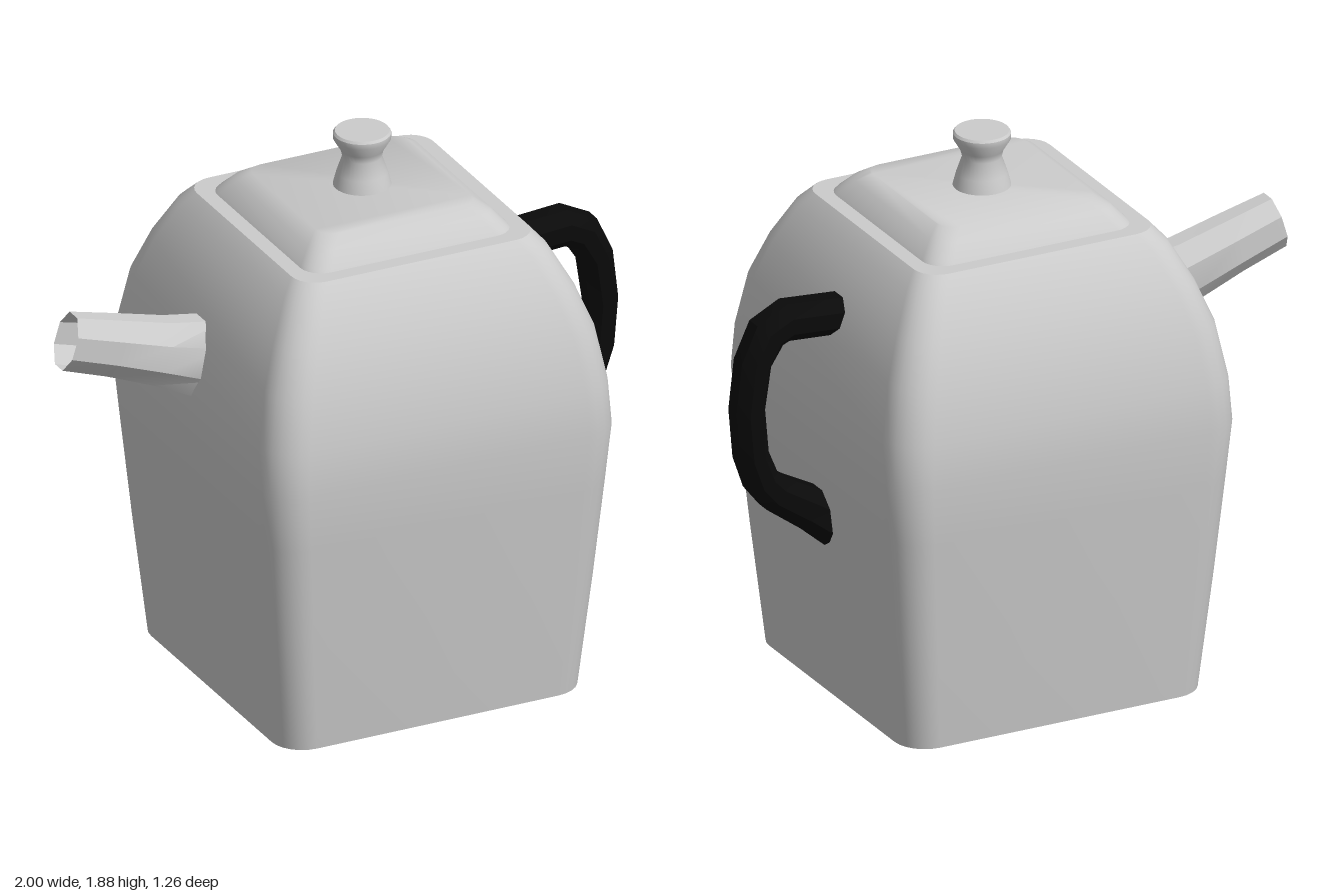
import * as THREE from 'three';
import { toCreasedNormals } from 'three/addons/utils/BufferGeometryUtils.js';

const CX = 0.075; // body axis in x

// Skins a row of equal-length rings; optional flat caps at both ends
function loft(rings, capStart, capEnd, crease) {
  const n = rings[0].length, pos = [], idx = [];
  rings.forEach(r => r.forEach(p => pos.push(...p)));
  for (let k = 0; k < rings.length - 1; k++) {
    for (let i = 0; i < n; i++) {
      const a = k * n + i, b = k * n + (i + 1) % n;
      idx.push(a, a + n, b + n, a, b + n, b);
    }
  }
  const last = (rings.length - 1) * n;
  for (let i = 1; i < n - 1; i++) {
    if (capStart) idx.push(0, i, i + 1);
    if (capEnd) idx.push(last, last + i + 1, last + i);
  }
  const g = new THREE.BufferGeometry();
  g.setAttribute('position', new THREE.Float32BufferAttribute(pos, 3));
  g.setIndex(idx);
  return toCreasedNormals(g, crease);
}

// Horizontal rounded square of half width h
function squareRing(h, y) {
  const r = h * 0.2, seg = 6, pts = [];
  for (let c = 0; c < 4; c++) {
    const mid = Math.PI / 4 + c * Math.PI / 2;
    const sx = Math.sign(Math.cos(mid)), sz = Math.sign(Math.sin(mid));
    for (let i = 0; i <= seg; i++) {
      const a = c * Math.PI / 2 + (i / seg) * Math.PI / 2;
      pts.push([CX + sx * (h - r) + r * Math.cos(a), y, sz * (h - r) + r * Math.sin(a)]);
    }
  }
  return pts;
}

// Octagonal rings along a path in the xy plane; points are [x, y, in-plane radius, z radius]
function pathRings(path, z) {
  return path.map(([x, y, ru, rv], k) => {
    const p = path[Math.max(k - 1, 0)], q = path[Math.min(k + 1, path.length - 1)];
    const len = Math.hypot(q[0] - p[0], q[1] - p[1]);
    const tx = (q[0] - p[0]) / len, ty = (q[1] - p[1]) / len;
    return Array.from({ length: 8 }, (_, i) => {
      const a = (i + 0.5) * Math.PI / 4;
      const u = Math.cos(a) * ru * 1.06, v = Math.sin(a) * rv * 1.06;
      return [x + ty * u, y - tx * u, z + v];
    });
  });
}

export function createModel() {
  const group = new THREE.Group();
  const grey = new THREE.MeshStandardMaterial({ color: 0xcccccc });
  const greyOpen = new THREE.MeshStandardMaterial({ color: 0xcccccc, side: THREE.DoubleSide });
  const black = new THREE.MeshStandardMaterial({ color: 0x0a0a0a });
  const add = (name, geometry, material) => {
    const mesh = new THREE.Mesh(geometry, material);
    mesh.name = name;
    group.add(mesh);
    return mesh;
  };

  // Square pot, swelling to the shoulder and closing to a flat rim
  const body = [
    [0.543, 0], [0.582, 0.4], [0.613, 0.75], [0.63, 0.95], [0.62, 1.1],
    [0.587, 1.28], [0.535, 1.42], [0.468, 1.55], [0.425, 1.6],
  ];
  add('body', loft(body.map(([h, y]) => squareRing(h, y)), true, true, 0.6), grey);

  // Lid with a curved bevel
  const lid = [[0.375, 1.595], [0.365, 1.61], [0.325, 1.655], [0.28, 1.686]];
  add('lid', loft(lid.map(([h, y]) => squareRing(h, y)), false, true, 0.7), grey);

  // Waisted knob
  const knob = [
    [0.096, 1.68], [0.083, 1.73], [0.064, 1.785], [0.07, 1.81],
    [0.094, 1.85], [0.094, 1.868], [0.088, 1.876], [0, 1.876],
  ].map(([r, y]) => new THREE.Vector2(r, y));
  const knobMesh = add('knob', toCreasedNormals(new THREE.LatheGeometry(knob, 32), 0.6), grey);
  knobMesh.position.set(0.08, 0, 0.012 * -1);

  // Open tapering spout
  const spout = [
    [-0.47, 1.185, 0.14, 0.082], [-0.65, 1.243, 0.112, 0.082],
    [-0.82, 1.3, 0.1, 0.079], [-0.98, 1.348, 0.094, 0.068],
  ];
  add('spout', loft(pathRings(spout, -0.02), false, false, 0.6), greyOpen);

  // Black handle, flared where it meets the pot at the bottom
  const handle = [
    [0.6, 1.352, 0.064, 0.07], [0.81, 1.367, 0.066, 0.07], [0.875, 1.335, 0.064, 0.07],
    [0.925, 1.24, 0.056, 0.07], [0.946, 1.08, 0.053, 0.07], [0.932, 0.92, 0.053, 0.07],
    [0.897, 0.825, 0.056, 0.07], [0.85, 0.773, 0.062, 0.07], [0.73, 0.697, 0.072, 0.076],
    [0.635, 0.632, 0.085, 0.088],
  ];
  add('handle', loft(pathRings(handle, -0.035), true, true, 0.6), black);

  return group;
}
